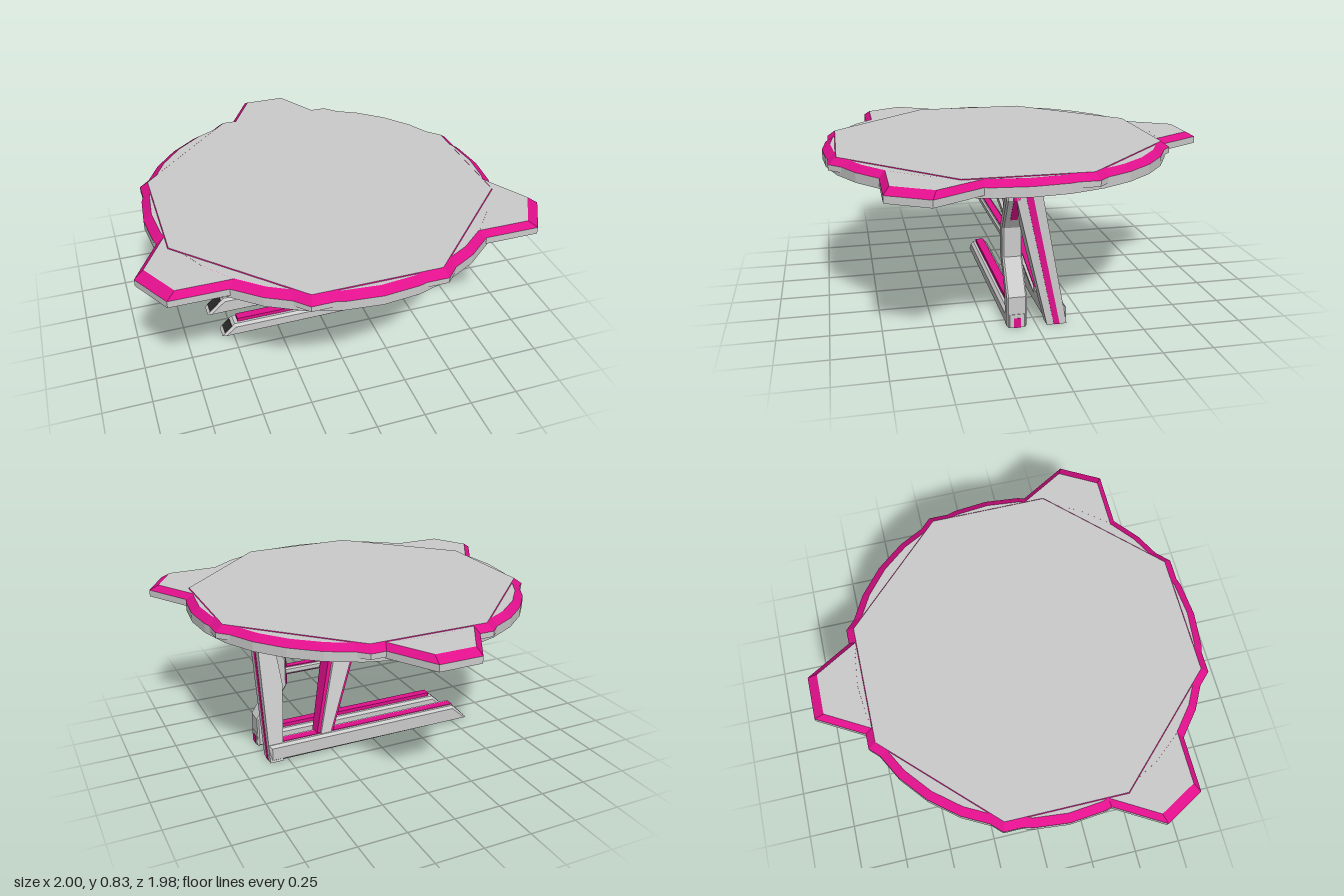
import * as THREE from 'three';

const paint = (color) => new THREE.MeshStandardMaterial({ color, flatShading: true, side: THREE.DoubleSide });
const grey = paint(0xcccccc);
const pink = paint(0xe0108c);
const dark = paint(0x2a2a2a);
const CZ = 0.095; // centre of the table top in z

function add(parent, name, geometry, material) {
  const mesh = new THREE.Mesh(geometry, material);
  mesh.name = name;
  parent.add(mesh);
  return mesh;
}

// Skin through scaled copies of one outline; rings are [scale, y]
function skin(loop, rings) {
  const pos = [];
  const at = ([x, z], [s, y]) => [x * s, y, CZ + (z - CZ) * s];
  for (let r = 0; r < rings.length - 1; r++) {
    loop.forEach((p, i) => {
      const q = loop[(i + 1) % loop.length];
      const a = at(p, rings[r]), b = at(q, rings[r]);
      const c = at(q, rings[r + 1]), d = at(p, rings[r + 1]);
      if (rings[r][0] > 0) pos.push(...a, ...b, ...c);
      if (rings[r + 1][0] > 0) pos.push(...a, ...c, ...d);
    });
  }
  const g = new THREE.BufferGeometry();
  g.setAttribute('position', new THREE.Float32BufferAttribute(pos, 3));
  g.computeVertexNormals();
  return g;
}

// Hollow plate: rim wall, coloured bevel, flat cap, dark underside
function plate(parent, name, loop, bottom, top, inner) {
  const g = new THREE.Group();
  g.name = name;
  const under = top - 0.004;
  add(g, name + 'Rim', skin(loop, [[inner, under], [inner, bottom], [1, bottom], [1, 0.8]]), grey);
  add(g, name + 'Bevel', skin(loop, [[1, 0.8], [0.953, top]]), pink);
  add(g, name + 'Cap', skin(loop, [[0.953, top], [0, top]]), grey);
  add(g, name + 'Underside', skin(loop, [[0, under], [inner, under]]), dark);
  parent.add(g);
}

// Profile in x and y, given a depth about z
function slab(parent, name, points, z, depth, material, bevel = 0) {
  const shape = new THREE.Shape(points.map(([x, y]) => new THREE.Vector2(x, y)));
  const g = new THREE.ExtrudeGeometry(shape, {
    depth: depth - 2 * bevel, bevelEnabled: bevel > 0, bevelThickness: bevel,
    bevelSize: bevel, bevelOffset: -bevel, bevelSegments: 1,
  });
  g.translate(0, 0, z - depth / 2 + bevel);
  return add(parent, name, g, material);
}

// Tapered, leaning post between two level rectangles [x, y, z, width, depth]
function post(parent, name, lo, hi, material) {
  const g = new THREE.BoxGeometry(1, 1, 1);
  const p = g.attributes.position;
  for (let i = 0; i < p.count; i++) {
    const e = p.getY(i) > 0 ? hi : lo;
    p.setXYZ(i, e[0] + p.getX(i) * e[3], e[1], e[2] + p.getZ(i) * e[4]);
  }
  g.computeVertexNormals();
  return add(parent, name, g, material);
}

const rect = (x0, x1, y0, y1) => [[x0, y0], [x1, y0], [x1, y1], [x0, y1]];

export function createModel() {
  const model = new THREE.Group();
  model.name = 'table';

  // Table top: disc, three-cornered frame and octagon overlaid
  const top = new THREE.Group();
  top.name = 'tableTop';
  model.add(top);
  const disc = Array.from({ length: 32 }, (_, i) => {
    const a = (i / 32) * Math.PI * 2;
    return [0.89 * Math.cos(a), CZ - 0.89 * Math.sin(a)];
  });
  const corners = [[1, 0.54], [0.11, -0.99], [-0.11, -0.99], [-1, 0.54], [-0.89, 0.735], [0.89, 0.735]];
  const octagon = [[0.86, 0.41], [0.86, -0.22], [0.32, -0.76], [-0.32, -0.76],
    [-0.86, -0.22], [-0.86, 0.41], [-0.32, 0.957], [0.32, 0.957]];
  plate(top, 'disc', disc, 0.752, 0.828, 0.94);
  plate(top, 'cornerFrame', corners, 0.765, 0.8278, 0.89);
  plate(top, 'octagon', octagon, 0.772, 0.831, 0.953);

  // Feet: two parallel runners with sloped, dark ends
  [['frontFoot', 0.1, -0.56, 0.07, 0.09], ['backFoot', -0.1, -0.6, 0.095, 0.098]].forEach(([name, z, end, h, stripe]) => {
    slab(model, name, [[end, 0], [0.6, 0], [0.6, h], [end + h, h]], z, 0.1, grey, 0.014);
    slab(model, name + 'Stripe', rect(end + 0.09, 0.53, h - 0.01, stripe), z, 0.045, pink);
    slab(model, name + 'End', [[end + 0.013, 0.015], [end + 0.03, 0.015], [end + h - 0.005, h - 0.015],
      [end + h - 0.018, h - 0.015]], z, 0.066, dark);
  });

  // Front post: band bent inwards, striped inside and at the ends outside
  const inner = [[0.52, 0], [0.52, 0.16], [0.41, 0.33], [0.41, 0.48], [0.52, 0.65], [0.52, 0.78]];
  const shifted = (d) => inner.map(([x, y]) => [x + d, y]);
  const band = (a, b) => [...shifted(b), ...shifted(a).reverse()];
  slab(model, 'frontPost', band(0.012, 0.077), 0.1, 0.1, grey, 0.008);
  slab(model, 'frontPostStripe', band(0, 0.03), 0.1, 0.045, pink);
  slab(model, 'frontPostUpperStripe',
    [[0.522, 0.53], [0.6, 0.65], [0.6, 0.78], [0.58, 0.78], [0.58, 0.65], [0.5, 0.53]], 0.1, 0.035, pink);
  slab(model, 'frontPostLowerStripe', rect(0.58, 0.602, 0, 0.05), 0.1, 0.035, pink);

  // Back post: leans forward towards the top, deepest at mid height
  const joints = [[0.565, 0, -0.1, 0.07, 0.1], [0.545, 0.4, -0.015, 0.11, 0.118], [0.565, 0.78, 0.065, 0.07, 0.135]];
  post(model, 'backPostLower', joints[0], joints[1], grey);
  post(model, 'backPostUpper', joints[1], joints[2], grey);
  post(model, 'backPostStripe', [0.59, 0, -0.1, 0.024, 0.03], [0.59, 0.78, 0.065, 0.024, 0.035], pink);

  // Diagonal strut: wide under the top, narrow on the back foot, coloured edges
  post(model, 'strut', [0.298, 0.03, -0.1, 0.05, 0.085], [0.025, 0.79, 0.103, 0.145, 0.175], grey);
  post(model, 'strutEdges', [0.298, 0.03, -0.1, 0.085, 0.06], [0.025, 0.79, 0.103, 0.19, 0.13], pink);

  // Upper rail beneath the top
  slab(model, 'upperRail', [[-0.52, 0.713], [0.56, 0.713], [0.56, 0.79], [-0.57, 0.79], [-0.57, 0.74]], 0.1, 0.09, grey, 0.01);
  slab(model, 'upperRailStripe', rect(-0.5, 0.52, 0.705, 0.73), 0.1, 0.045, pink);

  // Middle bar with stripes above and below
  slab(model, 'middleBar', rect(-0.39, 0.45, 0.383, 0.42), 0.1, 0.06, grey, 0.008);
  slab(model, 'middleBarStripe', rect(-0.388, 0.45, 0.378, 0.425), 0.1, 0.035, pink);
  slab(model, 'middleBarEnd', rect(-0.393, -0.38, 0.388, 0.414), 0.1, 0.045, dark);

  // Short brace from front post to upper rail
  slab(model, 'brace', [[0.44, 0.53], [0.49, 0.6], [0.37, 0.75], [0.29, 0.75]], 0.1, 0.06, grey);

  return model;
}
